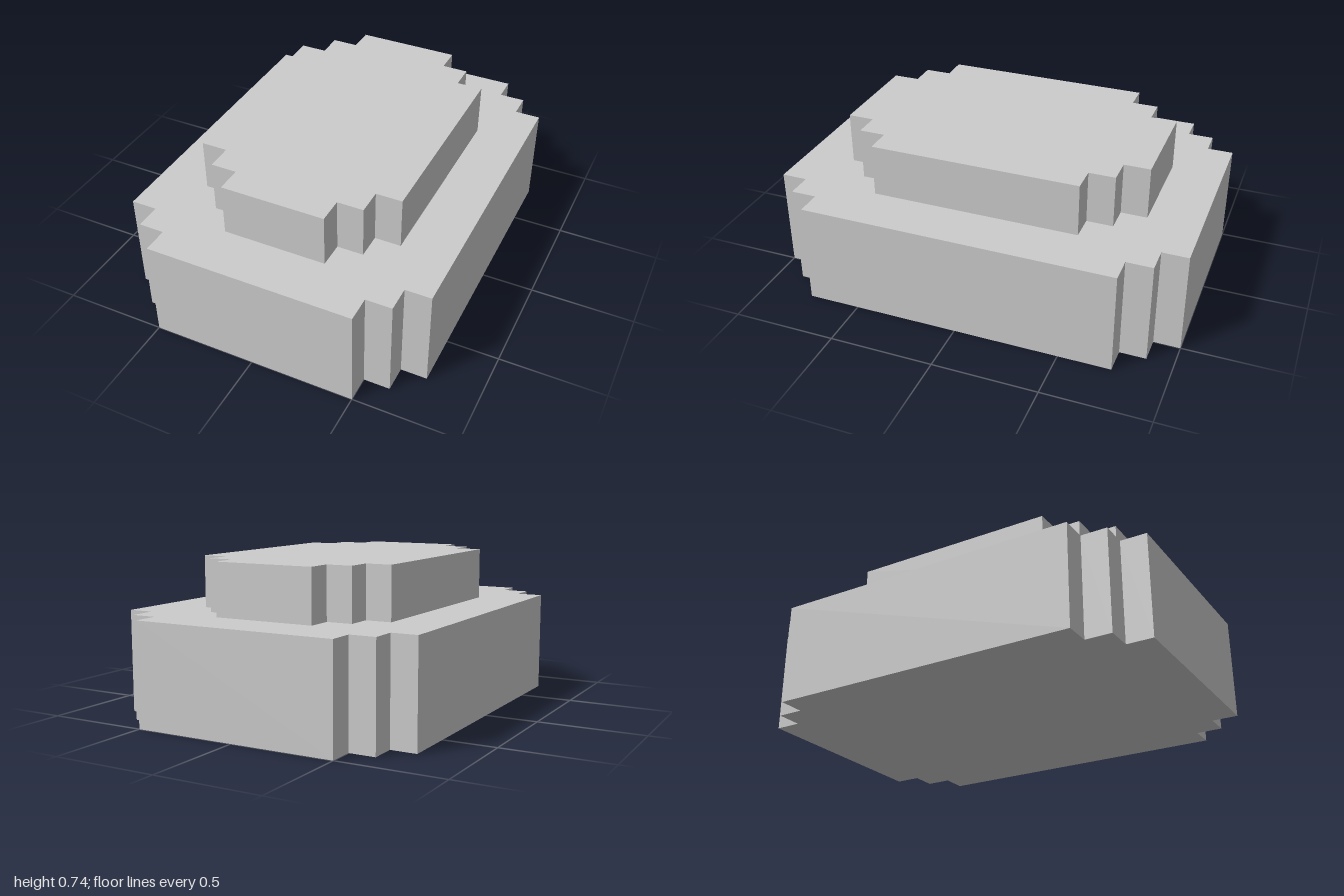
import * as THREE from 'three';

const STEP = 0.125;

// Rectangle outline with two square stair steps cut from every corner
function steppedOutline(halfX, halfZ) {
  const corner = [
    [halfX, halfZ - 2 * STEP],
    [halfX - STEP, halfZ - 2 * STEP],
    [halfX - STEP, halfZ - STEP],
    [halfX - 2 * STEP, halfZ - STEP],
    [halfX - 2 * STEP, halfZ],
  ];
  const points = [];
  // Mirror the corner into all four quadrants, keeping counter-clockwise order
  for (const [sx, sz] of [[1, 1], [-1, 1], [-1, -1], [1, -1]]) {
    const run = corner.map(([x, z]) => new THREE.Vector2(x * sx, z * sz));
    points.push(...(sx * sz > 0 ? run : run.reverse()));
  }
  return new THREE.Shape(points);
}

function createTier(name, halfX, halfZ, bottom, top, material) {
  const geometry = new THREE.ExtrudeGeometry(steppedOutline(halfX, halfZ), {
    depth: top - bottom,
    bevelEnabled: false,
  });
  geometry.rotateX(-Math.PI / 2);
  const mesh = new THREE.Mesh(geometry, material);
  mesh.name = name;
  mesh.position.y = bottom;
  return mesh;
}

export function createModel() {
  const group = new THREE.Group();
  group.name = 'steppedPlatform';
  const material = new THREE.MeshStandardMaterial({ color: 0xcccccc, flatShading: true });

  // Wide lower block and smaller block on top of it
  group.add(createTier('lowerTier', 0.75, 1, 0, 0.49, material));
  group.add(createTier('upperTier', 0.5, 0.75, 0.49, 0.74, material));
  return group;
}
